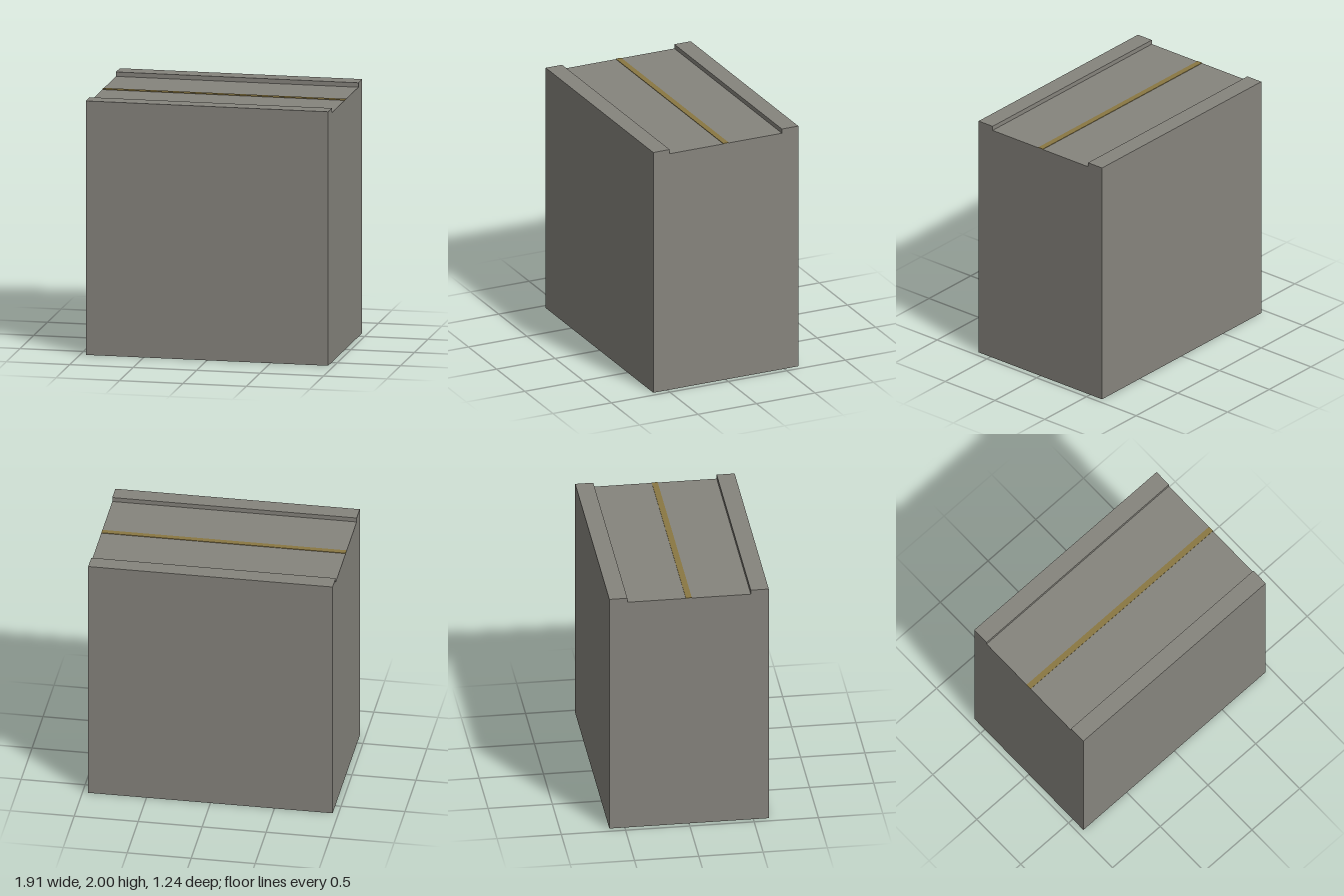
import * as THREE from 'three';

const W = 1.91;      // length along x
const HZ = 0.62;     // half depth
const CURB = 0.48;   // inner edge of the raised curbs
const DECK = 1.965;  // height of the sunken deck
const TOP = 2;

export function createModel() {
  const group = new THREE.Group();
  const stone = new THREE.MeshStandardMaterial({ color: 0x86847d, side: THREE.DoubleSide });
  stone.name = 'stone grey';
  const ochre = new THREE.MeshStandardMaterial({ color: 0x8a7843 });
  ochre.name = 'ochre line';

  const add = (name, geometry, material) => {
    const mesh = new THREE.Mesh(geometry, material);
    mesh.name = name;
    group.add(mesh);
    return mesh;
  };
  // Thin sheet across the full length, upright (facing +z or -z) or flat (facing up)
  const wall = (name, z, y0, y1, facing) => {
    const geometry = new THREE.PlaneGeometry(W, y1 - y0);
    if (facing < 0) geometry.rotateY(Math.PI);
    add(name, geometry.translate(0, (y0 + y1) / 2, z), stone);
  };
  const floor = (name, y, z0, z1) =>
    add(name, new THREE.PlaneGeometry(W, z1 - z0).rotateX(-Math.PI / 2).translate(0, y, (z0 + z1) / 2), stone);

  // Long walls and raised curbs; the underside stays open
  for (const s of [1, -1]) {
    const end = s > 0 ? 'front' : 'back';
    wall(`${end}Wall`, s * HZ, 0, TOP, s);
    wall(`${end}CurbFace`, s * CURB, DECK, TOP, -s);
    floor(`${end}CurbTop`, TOP, s > 0 ? CURB : -HZ, s > 0 ? HZ : -CURB);
  }

  // Sunken deck with its centre line
  floor('deck', DECK, -CURB, CURB);
  add('centreLine', new THREE.BoxGeometry(W, 0.004, 0.046).translate(0, DECK + 0.002, -0.002), ochre);

  // End walls with the notched top outline
  const outline = new THREE.Shape([
    [-HZ, 0], [HZ, 0], [HZ, TOP], [CURB, TOP], [CURB, DECK],
    [-CURB, DECK], [-CURB, TOP], [-HZ, TOP],
  ].map(([x, y]) => new THREE.Vector2(x, y)));
  for (const s of [1, -1]) {
    const geometry = new THREE.ShapeGeometry(outline).rotateY(s * Math.PI / 2).translate(s * W / 2, 0, 0);
    add(s > 0 ? 'leftEndWall' : 'rightEndWall', geometry, stone);
  }
  return group;
}
